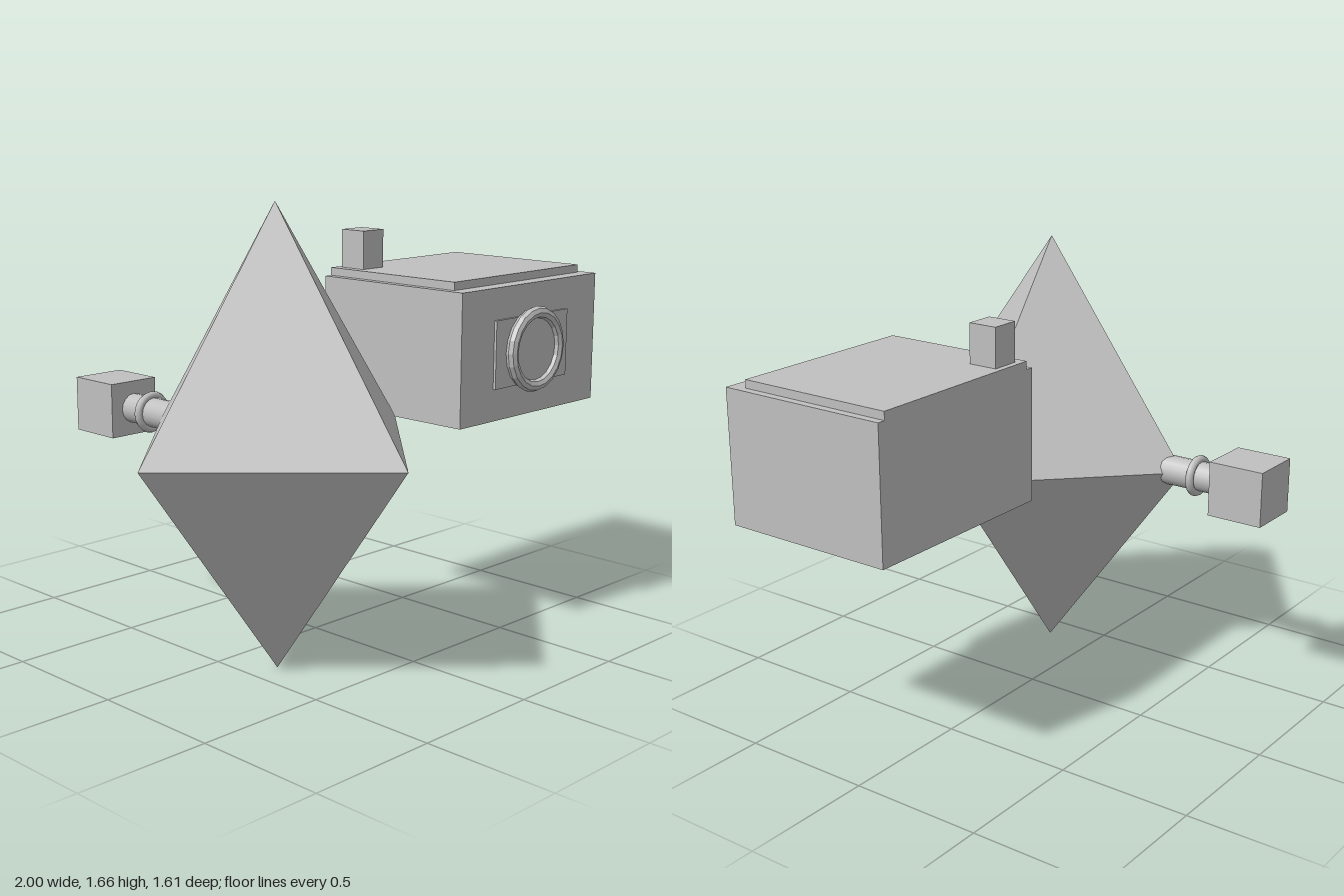
import * as THREE from 'three';

export function createModel() {
  const model = new THREE.Group();
  const grey = new THREE.MeshStandardMaterial({ color: 0xc0c0c0 });
  grey.name = 'plain grey';
  const flatGrey = grey.clone();
  flatGrey.name = 'plain grey faceted';
  flatGrey.flatShading = true;

  const add = (name, geometry, x, y, z, material = grey) => {
    const mesh = new THREE.Mesh(geometry, material);
    mesh.name = name;
    mesh.position.set(x, y, z);
    model.add(mesh);
    return mesh;
  };
  // Box given by its extents along each axis
  const box = (name, [x0, x1], [y0, y1], [z0, z1]) =>
    add(name, new THREE.BoxGeometry(x1 - x0, y1 - y0, z1 - z0),
      (x0 + x1) / 2, (y0 + y1) / 2, (z0 + z1) / 2);

  // Tall eight-sided crystal
  const crystal = new THREE.OctahedronGeometry(1, 0);
  crystal.scale(0.613, 0.831, 0.613);
  crystal.computeVertexNormals();
  add('crystal', crystal, -0.387, 0.831, 0.193, flatGrey);

  // Case with a raised lid and a small chimney
  box('caseBody', [0.2, 1], [0.833, 1.325], [-0.145, 0.53]);
  box('caseLid', [0.23, 0.97], [1.325, 1.355], [-0.145, 0.467]);
  box('chimney', [0.265, 0.375], [1.355, 1.5], [-0.122, -0.01]);

  // Round window on a thin plate
  box('windowPlate', [0.385, 0.812], [0.953, 1.207], [0.53, 0.54]);
  add('windowRing', new THREE.TorusGeometry(0.138, 0.023, 8, 20), 0.598, 1.08, 0.555, flatGrey);
  const pane = add('windowPane', new THREE.CylinderGeometry(0.125, 0.125, 0.02, 24), 0.598, 1.08, 0.548);
  pane.rotation.x = Math.PI / 2;

  // Pipe from the rear corner with a collar and an end block
  const pipe = add('pipe', new THREE.CylinderGeometry(0.056, 0.056, 0.27, 16), -0.387, 0.833, -0.465);
  pipe.rotation.x = Math.PI / 2;
  add('pipeCollar', new THREE.TorusGeometry(0.063, 0.016, 8, 20), -0.387, 0.833, -0.485);
  box('endBlock', [-0.492, -0.282], [0.73, 0.937], [-0.808, -0.592]);

  return model;
}
